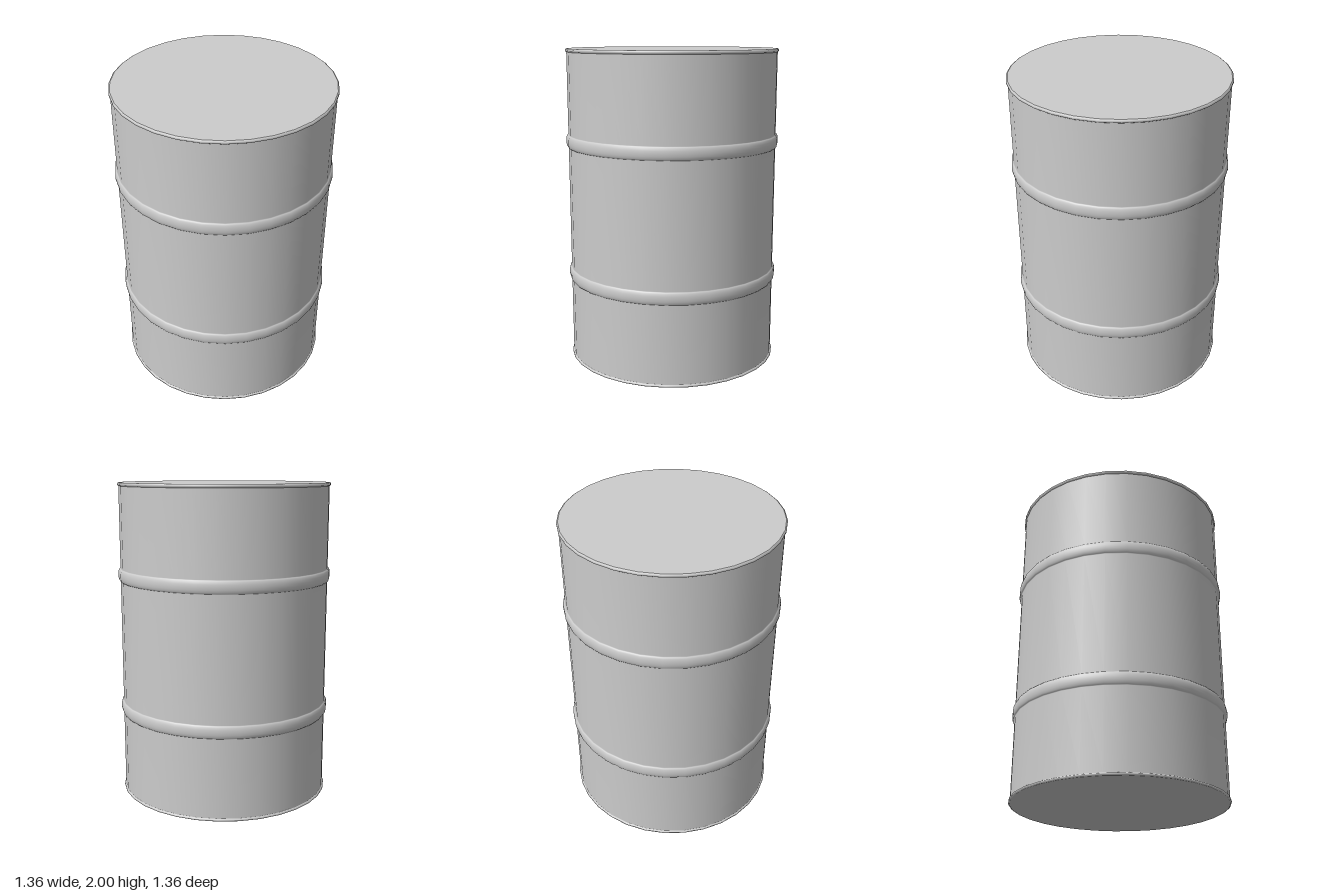
import * as THREE from 'three';

const SIDES = 32;
const WALL = 0.665; // wall radius
const RIM = 0.673; // radius of the rolled rims
const HEIGHT = 2;

const material = new THREE.MeshStandardMaterial({ color: 0xcccccc });

function addMesh(group, name, geometry) {
  const mesh = new THREE.Mesh(geometry, material);
  mesh.name = name;
  group.add(mesh);
  return mesh;
}

// Surface of revolution from [radius, y] pairs, listed bottom to top
function lathe(profile) {
  return new THREE.LatheGeometry(profile.map(([r, y]) => new THREE.Vector2(r, y)), SIDES);
}

// Rounded bulge in the wall around height y
function rib(y) {
  const half = 0.042, depth = 0.015, steps = 8;
  return Array.from({ length: steps + 1 }, (_, i) => {
    const a = Math.PI * (i / steps - 0.5);
    return [WALL + depth * Math.cos(a), y + half * Math.sin(a)];
  });
}

export function createModel() {
  const drum = new THREE.Group();
  drum.name = 'drum';

  // Wall with two rolling ribs
  addMesh(drum, 'wall', lathe([
    [WALL, 0.018], ...rib(0.563), ...rib(1.425), [WALL, HEIGHT - 0.022],
  ]));

  // Rolled rims at both ends
  const rim = (y0, y1) => {
    const d = (y1 - y0) / 4;
    return lathe([[WALL, y0], [RIM, y0 + d], [RIM, y1 - d], [WALL, y1]]);
  };
  addMesh(drum, 'bottomRim', rim(0, 0.018));
  addMesh(drum, 'topRim', rim(HEIGHT - 0.022, HEIGHT));

  // Flat end caps
  const cap = new THREE.CircleGeometry(WALL, SIDES);
  const lid = addMesh(drum, 'lid', cap);
  lid.rotation.x = -Math.PI / 2;
  lid.position.y = HEIGHT;
  const base = addMesh(drum, 'base', cap);
  base.rotation.x = Math.PI / 2;

  return drum;
}
